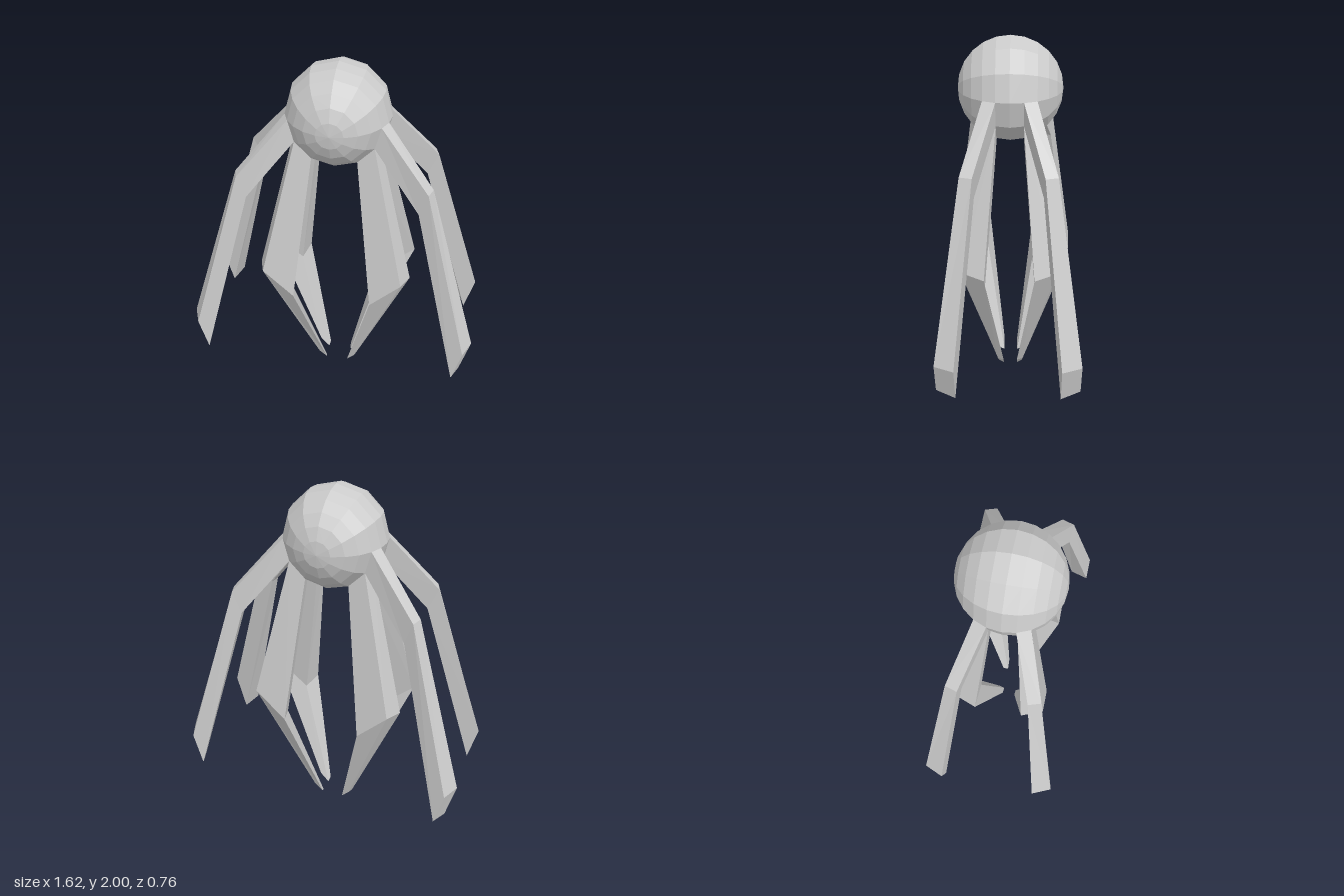
import * as THREE from 'three';

const material = new THREE.MeshStandardMaterial({ color: 0xcccccc, flatShading: true });
const RADIUS = 0.28, CENTRE_Y = 1.72;

// Corner of the body's facet grid: ring counted from the middle, step clockwise from +x
function bodyPoint(ring, step) {
  const r = RADIUS * Math.cos(ring * Math.PI / 12), a = -step * Math.PI / 6;
  return [r * Math.cos(a), CENTRE_Y + r * Math.sin(a), RADIUS * Math.sin(ring * Math.PI / 12)];
}

// Section growing out of one body facet
const root = (step) => [
  bodyPoint(1, step), bodyPoint(2, step), bodyPoint(2, step + 1), bodyPoint(1, step + 1)];

// Four-sided limb through root, knee and tip sections, mirrored by sx and sz
function limb(sections, sx, sz) {
  const positions = [];
  const tri = (a, b, c) => {
    const corners = sx * sz > 0 ? [a, b, c] : [a, c, b];
    for (const [x, y, z] of corners) positions.push(x * sx, y, z * sz);
  };
  const quad = (a, b, c, d) => { tri(a, b, c); tri(a, c, d); };
  for (let s = 0; s < sections.length - 1; s++) {
    const p = sections[s], q = sections[s + 1];
    for (let i = 0; i < 4; i++) {
      const j = (i + 1) % 4;
      quad(p[i], p[j], q[j], q[i]);
    }
  }
  quad(...sections[sections.length - 1]);
  const geometry = new THREE.BufferGeometry();
  geometry.setAttribute('position', new THREE.Float32BufferAttribute(positions, 3));
  geometry.computeVertexNormals();
  return new THREE.Mesh(geometry, material);
}

// Long limbs that spread outwards
const outerLimb = [
  root(0),
  [[0.525, 1.415, 0.18], [0.505, 1.415, 0.245], [0.46, 1.29, 0.235], [0.47, 1.29, 0.175]],
  [[0.81, 0.475, 0.275], [0.765, 0.475, 0.38], [0.715, 0.29, 0.38], [0.755, 0.27, 0.275]],
];

// Limbs that bend back in to a narrow tip on the ground
const innerLimb = [
  root(1),
  [[0.43, 0.785, 0.135], [0.39, 0.81, 0.255], [0.22, 0.65, 0.255], [0.25, 0.63, 0.14]],
  [[0.12, 0.055, 0.04], [0.11, 0.06, 0.075], [0.065, 0.015, 0.07], [0.07, 0, 0.04]],
];

export function createModel() {
  const model = new THREE.Group();
  model.name = 'limbedSphere';

  // Faceted body with its poles at the front and back
  const body = new THREE.Mesh(
    new THREE.SphereGeometry(RADIUS, 12, 12).rotateX(Math.PI / 2), material);
  body.position.y = CENTRE_Y;
  body.name = 'body';
  model.add(body);

  // Four limbs of each kind
  for (const [kind, sections] of [['OuterLimb', outerLimb], ['InnerLimb', innerLimb]]) {
    for (const sx of [1, -1]) {
      for (const sz of [1, -1]) {
        const mesh = limb(sections, sx, sz);
        mesh.name = (sz > 0 ? 'front' : 'back') + (sx > 0 ? 'Left' : 'Right') + kind;
        model.add(mesh);
      }
    }
  }
  return model;
}
